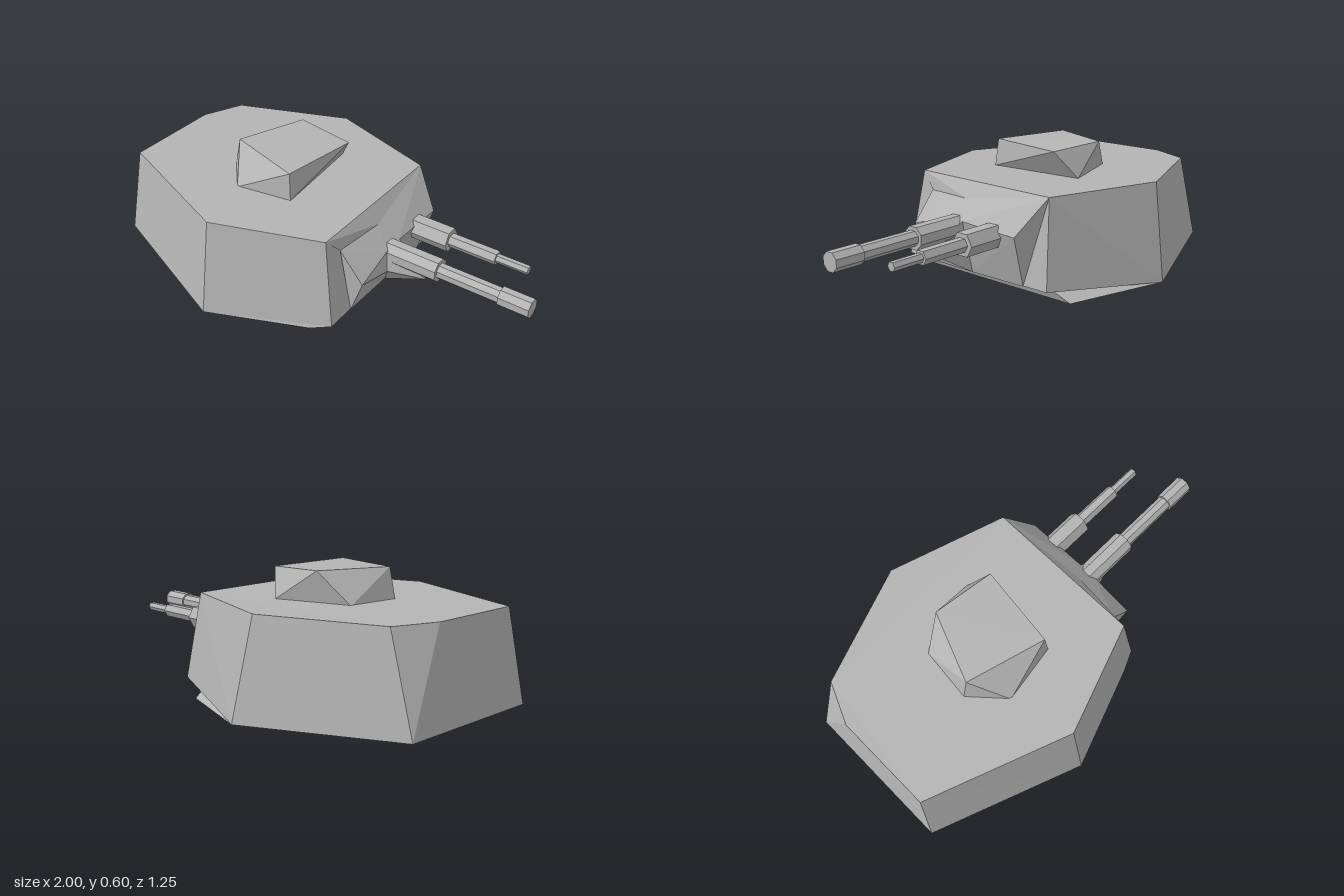
import * as THREE from 'three';
import { ConvexGeometry } from 'three/addons/geometries/ConvexGeometry.js';

const grey = new THREE.MeshStandardMaterial({ color: 0xb4b4b4, flatShading: true, side: THREE.DoubleSide });
grey.name = 'bare grey metal';

// Flat polygons from named corners, each turned to face away from a centre point
function facets(corners, faces, centre) {
  const v = {};
  for (const key in corners) v[key] = new THREE.Vector3(...corners[key]);
  const c = new THREE.Vector3(...centre);
  const positions = [];
  for (const face of faces) {
    const p = face.split(' ').map((key) => v[key]);
    for (let i = 1; i < p.length - 1; i++) {
      const t = new THREE.Triangle(p[0], p[i], p[i + 1]);
      const outward = t.getNormal(new THREE.Vector3()).dot(t.getMidpoint(new THREE.Vector3()).sub(c)) >= 0;
      const order = outward ? [t.a, t.b, t.c] : [t.a, t.c, t.b];
      order.forEach((q) => positions.push(q.x, q.y, q.z));
    }
  }
  const g = new THREE.BufferGeometry();
  g.setAttribute('position', new THREE.Float32BufferAttribute(positions, 3));
  g.computeVertexNormals();
  return g;
}

function add(parent, geometry, name) {
  const mesh = new THREE.Mesh(geometry, grey);
  mesh.name = name;
  parent.add(mesh);
}

// Stepped barrel along +x; each section is [start, end, radius]
function gun(name, y, z, sides, turn, sections) {
  const group = new THREE.Group();
  group.name = name;
  group.position.set(0, y, z);
  sections.forEach(([x0, x1, r], i) => {
    const g = new THREE.CylinderGeometry(r, r, x1 - x0, sides, 1, false, turn);
    g.rotateZ(-Math.PI / 2).translate((x0 + x1) / 2, 0, 0);
    add(group, g, ['barrelSleeve', 'barrel', 'muzzle'][i]);
  });
  return group;
}

export function createModel() {
  const turret = new THREE.Group();
  turret.name = 'turret';

  // Armoured body: b = lower rim, t = roof rim, c and d = stepped front underside
  const body = {
    b0: [-1, 0.05, -0.365], b1: [-0.3, 0.02, -0.63], b2: [0.26, 0.07, -0.42],
    b3: [0.26, 0.07, 0.42], b4: [-0.3, 0.02, 0.625], b5: [-1, 0.05, 0.36],
    c0: [0.15, 0, -0.46], c1: [0.15, 0, 0.42],
    d0: [0.17, 0.045, -0.38], d1: [0.17, 0.045, 0.46],
    t0: [-0.87, 0.462, -0.35], t1: [-0.34, 0.462, -0.55], t2: [0.2, 0.462, -0.38],
    t3: [0.2, 0.468, 0.375], t4: [-0.3, 0.467, 0.548], t5: [-0.95, 0.465, 0.3], t6: [-0.95, 0.465, -0.16],
  };
  add(turret, facets(body, [
    't0 t1 t2 t3 t4 t5 t6',
    'b1 b2 t2 t1', 'b2 b3 t3 t2', 'b3 b4 t4 t3', 'b4 b5 t5 t4',
    'b5 b0 t6 t5', 'b0 t0 t6', 'b0 b1 t1 t0',
    'b0 b1 c0 c1 b4 b5', 'c0 c1 d1 d0', 'd0 d1 b3 b2',
    'b1 b2 d0', 'b1 d0 c0', 'b4 b3 d1', 'b4 d1 c1',
  ], [-0.3, 0.25, 0]), 'armouredBody');

  // Faceted gun mount with a pointed bracket under the main gun
  const mount = {
    tr: body.t2, tl: body.t3, peak: [0.25, 0.395, 0.055], ml: [0.22, 0.39, 0.3],
    r: [0.33, 0.3, -0.3], g0: [0.33, 0.315, 0], g1: [0.33, 0.31, 0.1], l: [0.335, 0.255, 0.3],
    br: [0.26, 0.067, -0.29], k: [0.265, 0.067, 0.005], bl: [0.26, 0.067, 0.275],
    s: [0.34, 0.21, 0.11], tip: [0.51, 0.21, 0.06],
  };
  add(turret, facets(mount, [
    'tr peak tl', 'tl peak ml', 'tr r g0', 'tr g0 peak', 'peak g0 g1', 'peak g1 ml', 'ml g1 l',
    'r br k g0', 'l g1 s', 'l s k', 'l k bl', 'tr br r', 'ml l bl',
    's tip k', 'tip g0 k', 's g1 tip', 'g1 g0 tip',
  ], [0.15, 0.25, 0]), 'gunMount');

  // Roof cupola with twisted facets
  const cupola = [
    [-0.485, 0.6, 0.1], [-0.36, 0.6, -0.215], [-0.07, 0.588, -0.18], [-0.12, 0.595, 0.2],
    [-0.515, 0.46, 0.105], [-0.38, 0.46, 0.255], [-0.11, 0.465, 0.212],
    [-0.155, 0.463, -0.255], [-0.49, 0.46, -0.145],
  ].map((p) => new THREE.Vector3(...p));
  add(turret, new ConvexGeometry(cupola), 'cupola');

  // Main gun and smaller side gun
  turret.add(gun('mainGun', 0.283, 0.053, 8, Math.PI / 8,
    [[0.31, 0.57, 0.054], [0.57, 0.86, 0.036], [0.86, 1, 0.044]]));
  turret.add(gun('sideGun', 0.283, -0.167, 6, 0,
    [[0.31, 0.5, 0.056], [0.5, 0.73, 0.033], [0.73, 0.88, 0.021]]));

  return turret;
}
